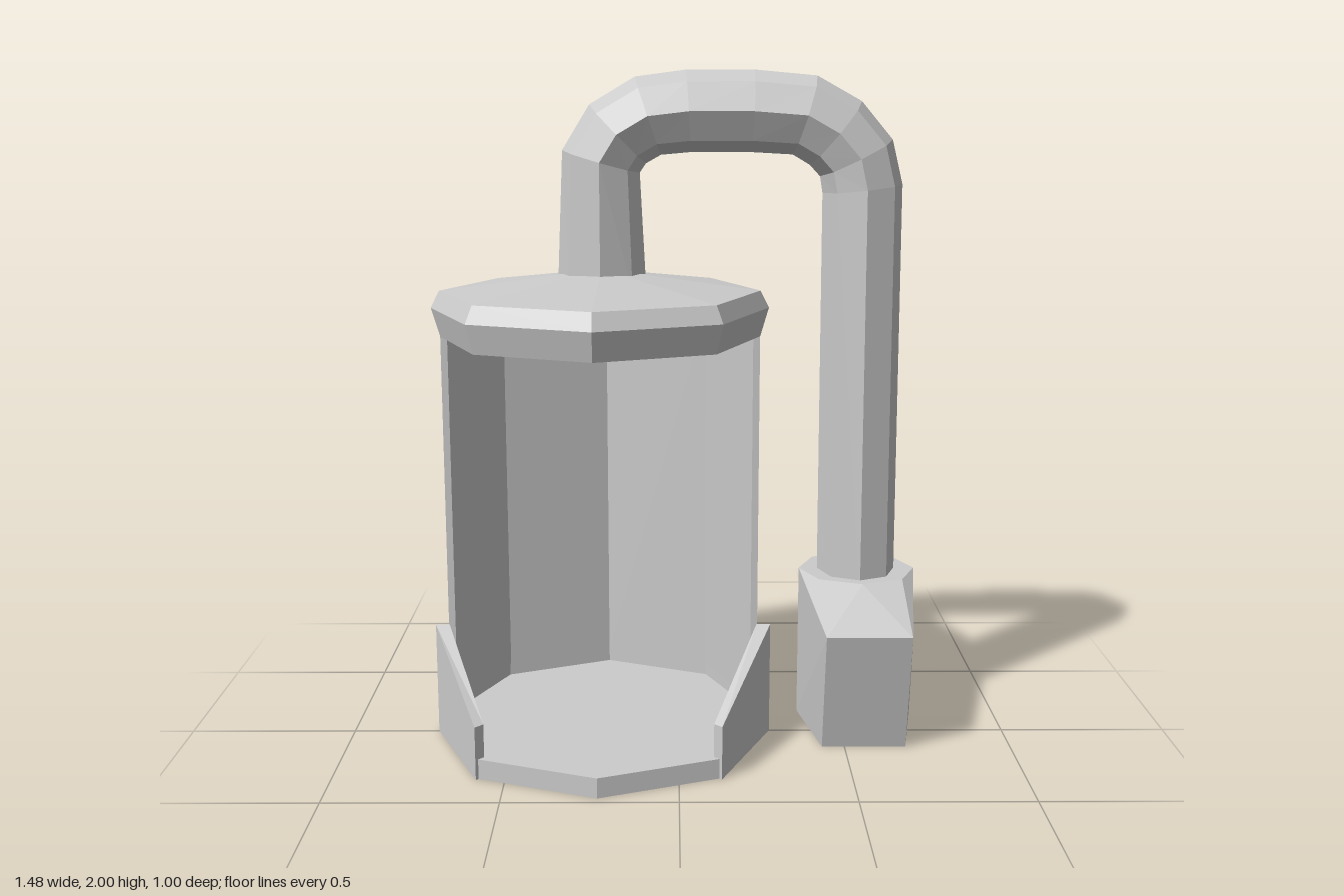
import * as THREE from 'three';
import { ConvexGeometry } from 'three/addons/geometries/ConvexGeometry.js';

const CX = -0.23; // axis of the chamber
const PZ = -0.16; // plane of the pipe

const material = new THREE.MeshStandardMaterial({ color: 0xcccccc, flatShading: true });

// Skin a list of equal closed rings and cap both ends (rings run counter-clockwise about the travel direction)
function loft(rings) {
  const pos = [];
  const tri = (...pts) => pts.forEach((p) => pos.push(p.x, p.y, p.z));
  const n = rings[0].length;
  for (let i = 0; i < rings.length - 1; i++) {
    for (let j = 0; j < n; j++) {
      const k = (j + 1) % n;
      const a = rings[i][j], b = rings[i][k], c = rings[i + 1][k], d = rings[i + 1][j];
      tri(a, b, d);
      tri(b, c, d);
    }
  }
  const first = rings[0], last = rings[rings.length - 1];
  for (let j = 1; j < n - 1; j++) {
    tri(first[0], first[j + 1], first[j]);
    tri(last[0], last[j], last[j + 1]);
  }
  const geometry = new THREE.BufferGeometry();
  geometry.setAttribute('position', new THREE.Float32BufferAttribute(pos, 3));
  geometry.computeVertexNormals();
  return geometry;
}

// Point around the chamber axis; 0 degrees is +x, 90 degrees is the back
function around(deg, r, y) {
  const a = THREE.MathUtils.degToRad(deg);
  return new THREE.Vector3(CX + r * Math.cos(a), y, -r * Math.sin(a));
}

// Upright slab section: inner bottom, inner top, outer top, outer bottom
function slab(deg, rIn, rOut, y0, yIn, yOut) {
  return [around(deg, rIn, y0), around(deg, rIn, yIn), around(deg, rOut, yOut), around(deg, rOut, y0)];
}

function floorGeometry() {
  const geometry = new THREE.CylinderGeometry(0.49, 0.49, 0.06, 8);
  const p = geometry.attributes.position;
  for (let i = 0; i < p.count; i++) if (p.getZ(i) > 0.45) p.setZ(i, 0.475);
  return geometry.translate(CX, 0.03, 0);
}

// Rim open at the front, peaking at both sides
function rimGeometry() {
  const rings = [];
  for (let deg = -45; deg <= 225; deg += 45) {
    const side = deg === 0 || deg === 180;
    const back = deg > 0 && deg < 180;
    const y = side ? 0.345 : 0.16;
    rings.push(slab(deg, back ? 0.455 : 0.468, side ? 0.51 : 0.5, 0, back ? 0.13 : y, y));
  }
  return loft(rings);
}

function wallGeometry() {
  const rings = [];
  for (let deg = 0; deg <= 180; deg += 45) rings.push(slab(deg, 0.45, 0.47, 0.1, 1.26, 1.26));
  return loft(rings);
}

// Bevelled lid whose peak sits under the pipe
function lidGeometry() {
  const profile = [[0, 1.233], [0.47, 1.233], [0.495, 1.318], [0.47, 1.368], [0, 1.415]];
  const geometry = new THREE.LatheGeometry(profile.map(([r, y]) => new THREE.Vector2(r, y)), 8);
  const p = geometry.attributes.position;
  for (let i = 0; i < p.count; i++) if (p.getY(i) > 1.4) p.setZ(i, PZ);
  return geometry.translate(CX, 0, 0);
}

// Eight-sided pipe along a bent path
function pipeGeometry() {
  const path = [
    [-0.23, 1.36], [-0.23, 1.735], [-0.18, 1.815], [-0.09, 1.868], [0.03, 1.882], [0.22, 1.882],
    [0.375, 1.87], [0.467, 1.818], [0.53, 1.745], [0.55, 1.655], [0.555, 0.42],
  ].map(([x, y]) => new THREE.Vector3(x, y, PZ));
  const rings = path.map((c, i) => {
    const t = new THREE.Vector3();
    if (i > 0) t.add(c.clone().sub(path[i - 1]).normalize());
    if (i < path.length - 1) t.add(path[i + 1].clone().sub(c).normalize());
    t.normalize();
    const r = i === 0 ? 0.133 : 0.12;
    const ring = [];
    for (let j = 0; j < 8; j++) {
      const a = (j / 8) * Math.PI * 2;
      const u = r * Math.cos(a);
      ring.push(new THREE.Vector3(c.x - t.y * u, c.y + t.x * u, c.z + 0.132 * Math.sin(a)));
    }
    return ring;
  });
  return loft(rings);
}

// Octagonal block drawn forward into a sloped snout
function nozzleGeometry() {
  const x = 0.558, points = [];
  for (let j = 0; j < 8; j++) {
    const a = (j / 8) * Math.PI * 2;
    for (const y of [0, 0.475]) {
      points.push(new THREE.Vector3(x + 0.18 * Math.cos(a), y, PZ + 0.17 * Math.sin(a)));
    }
  }
  for (const s of [-1, 1]) {
    points.push(new THREE.Vector3(x + s * 0.126, 0.375, 0.21));
    points.push(new THREE.Vector3(x + s * 0.126, 0, 0.125));
  }
  return new ConvexGeometry(points);
}

export function createModel() {
  const group = new THREE.Group();
  const parts = {
    floor: floorGeometry(),
    rim: rimGeometry(),
    backWall: wallGeometry(),
    lid: lidGeometry(),
    pipe: pipeGeometry(),
    nozzle: nozzleGeometry(),
  };
  for (const [name, geometry] of Object.entries(parts)) {
    const mesh = new THREE.Mesh(geometry, material);
    mesh.name = name;
    group.add(mesh);
  }
  return group;
}
